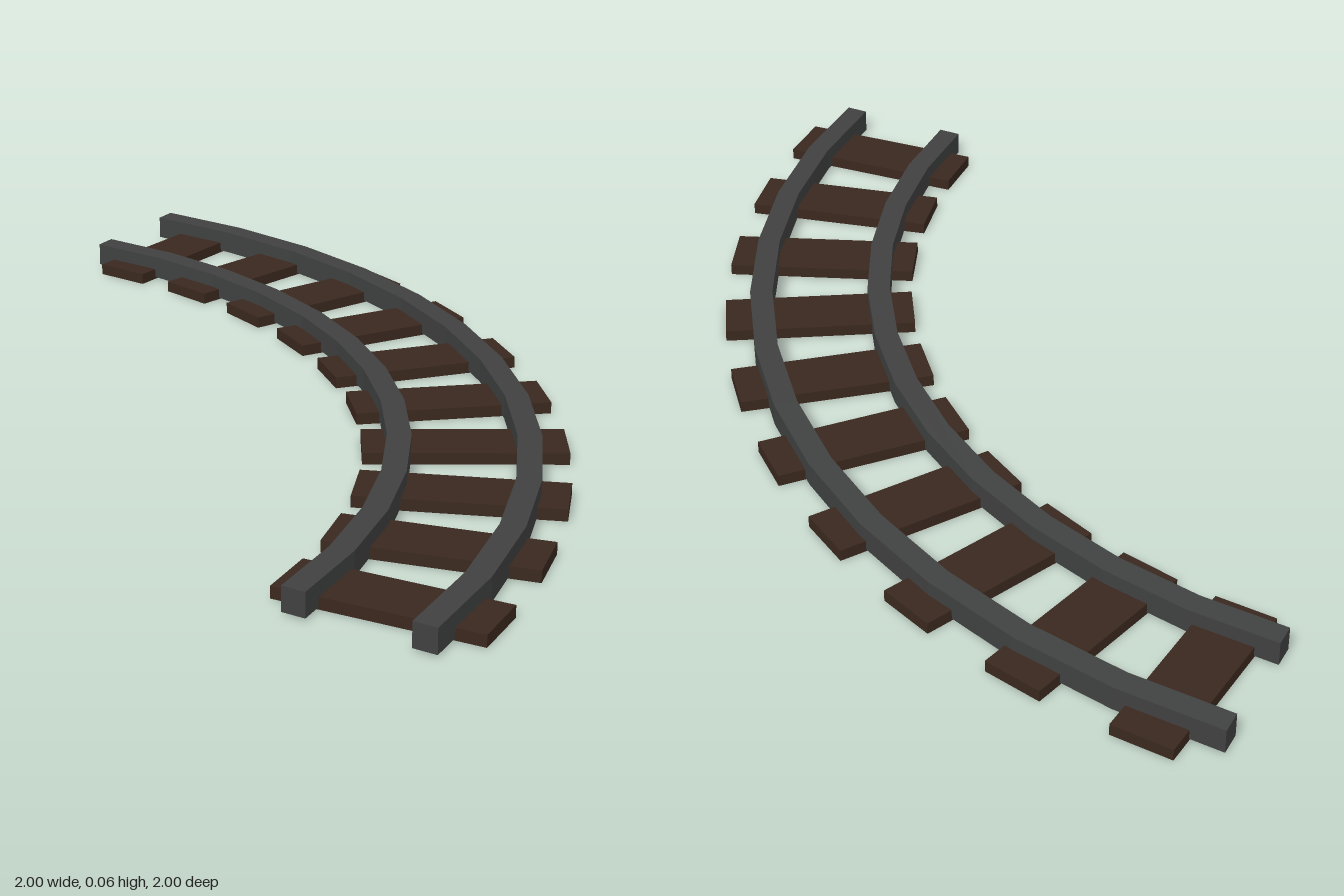
import * as THREE from 'three';

const SEGMENTS = 12;   // straight facets per rail
const TIES = 10;

// Point on a quarter circle, as shape coordinates
const arcPoint = (radius, i) => {
  const a = (i / SEGMENTS) * Math.PI / 2;
  return new THREE.Vector2(radius * Math.cos(a), radius * Math.sin(a));
};

// Faceted rail: a curved strip extruded upward
function makeRail(name, radius, material) {
  const width = 0.056, bottom = 0.005, top = 0.063;
  const points = [];
  for (let i = 0; i <= SEGMENTS; i++) points.push(arcPoint(radius + width / 2, i));
  for (let i = SEGMENTS; i >= 0; i--) points.push(arcPoint(radius - width / 2, i));
  const geometry = new THREE.ExtrudeGeometry(new THREE.Shape(points), {
    depth: top - bottom, bevelEnabled: false,
  });
  geometry.rotateX(-Math.PI / 2);
  const rail = new THREE.Mesh(geometry, material);
  rail.position.y = bottom;
  rail.name = name;
  return rail;
}

export function createModel() {
  const model = new THREE.Group();
  model.name = 'curvedTrack';
  const steel = new THREE.MeshStandardMaterial({ color: 0x404141, flatShading: true });
  const wood = new THREE.MeshStandardMaterial({ color: 0x3a281e, flatShading: true });

  // The curve's centre lies at the front right corner of the footprint
  const track = new THREE.Group();
  track.name = 'track';
  track.position.set(-1, 0, 1);
  model.add(track);

  // Rails
  track.add(makeRail('innerRail', 1.615, steel));
  track.add(makeRail('outerRail', 1.91, steel));

  // Wooden ties, evenly fanned around the quarter turn
  const tieGeometry = new THREE.BoxGeometry(0.47, 0.028, 0.145);
  for (let i = 0; i < TIES; i++) {
    const a = ((i + 0.5) / TIES) * Math.PI / 2;
    const tie = new THREE.Mesh(tieGeometry, wood);
    tie.position.set(1.765 * Math.cos(a), 0.014, -1.765 * Math.sin(a));
    tie.rotation.y = a;
    tie.name = `tie${i + 1}`;
    track.add(tie);
  }
  return model;
}
